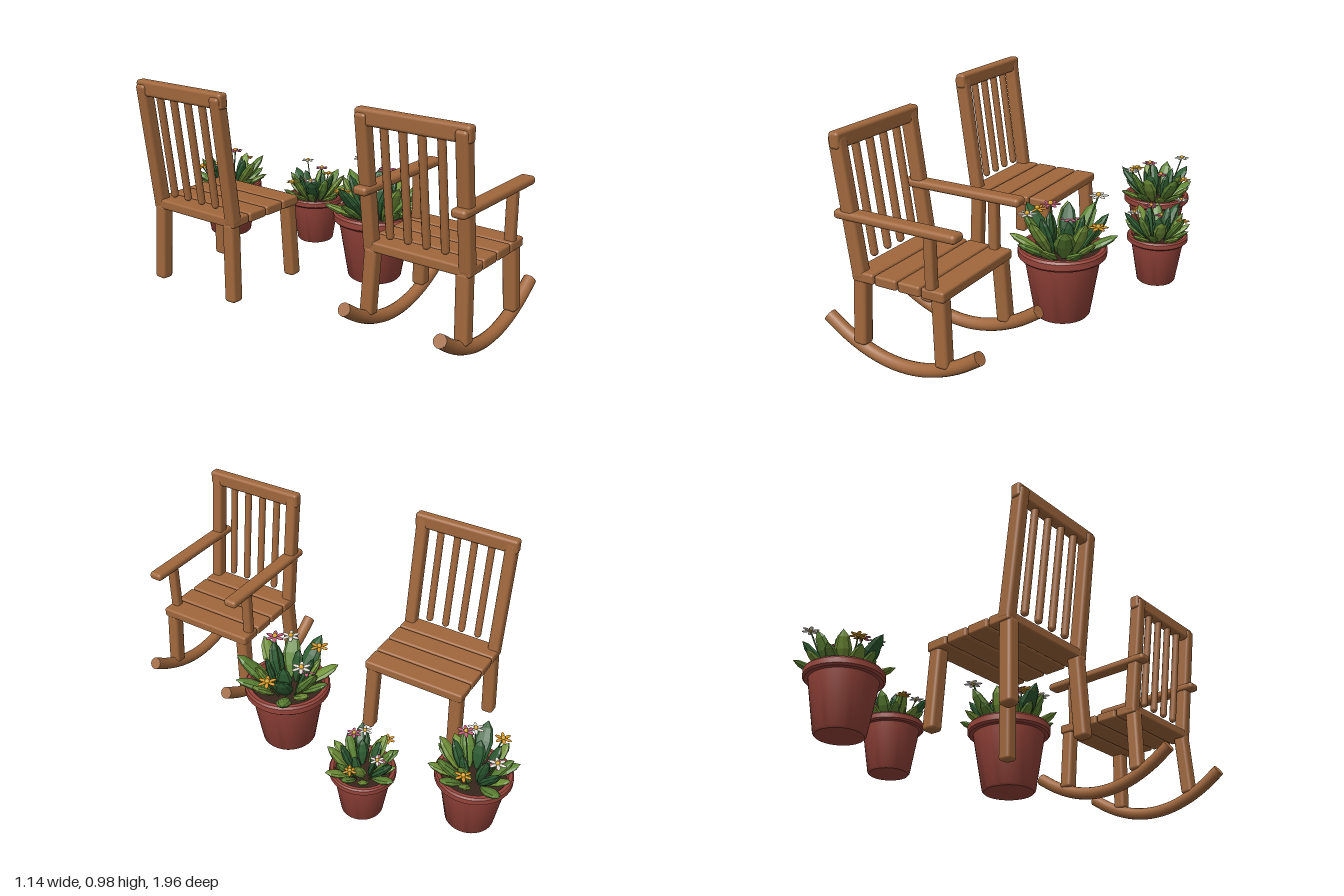
import * as THREE from 'three';
import { RoundedBoxGeometry } from 'three/addons/geometries/RoundedBoxGeometry.js';
import { toCreasedNormals } from 'three/addons/utils/BufferGeometryUtils.js';

const paint = (color, extra = {}) => new THREE.MeshStandardMaterial({ color, ...extra });
const wood = paint(0xa0673c);
const clay = paint(0x96443a);
const soilMat = paint(0x38251c);
const greens = [0x74943a, 0x5f8636, 0x2f5d33].map((c) => paint(c, { flatShading: true }));
const stemMat = paint(0x47702f);
const petalMats = { pink: 0xc8607f, white: 0xe6e0d6, orange: 0xdf9a26 };
for (const k in petalMats) petalMats[k] = paint(petalMats[k], { side: THREE.DoubleSide });
const heartMat = paint(0xd9a428);
const V = (x, y, z) => new THREE.Vector3(x, y, z);
const UP = V(0, 1, 0);

function add(parent, name, geometry, material) {
  const mesh = new THREE.Mesh(geometry, material);
  mesh.name = name;
  parent.add(mesh);
  return mesh;
}

// Stands a y-long mesh between two points
function span(mesh, a, b) {
  mesh.position.copy(a).add(b).multiplyScalar(0.5);
  mesh.quaternion.setFromUnitVectors(UP, b.clone().sub(a).normalize());
  return mesh;
}

function beam(parent, name, a, b, w, d, r = 0.015) {
  return span(add(parent, name, new RoundedBoxGeometry(w, a.distanceTo(b), d, 3, r), wood), a, b);
}

function rod(parent, name, a, b, r, material) {
  return span(add(parent, name, new THREE.CylinderGeometry(r, r, a.distanceTo(b), 6), material), a, b);
}

// Chair facing +x; x = 0 is the middle of the rearmost seat slat
function makeChair(name, rocking) {
  const g = new THREE.Group();
  g.name = name;

  for (let i = 0; i < 4; i++) {
    const slat = add(g, 'seatSlat', new RoundedBoxGeometry(0.106, 0.045, 0.5, 3, 0.01), wood);
    slat.position.set(i * 0.113, 0.397, 0);
  }

  // Raked back: posts, crest rail and round spindles
  const crest = add(g, 'crestRail', new RoundedBoxGeometry(0.05, 0.07, 0.516, 3, 0.014), wood);
  crest.position.set(-0.091, 0.949, 0);
  for (let i = 0; i < 4; i++) {
    const z = (i - 1.5) * 0.0856;
    const a = V(-0.03, 0.44, z), b = V(-0.095, 0.94, z);
    span(add(g, 'backSpindle', new THREE.CapsuleGeometry(0.017, a.distanceTo(b) - 0.034, 4, 12), wood), a, b);
  }

  const footY = rocking ? 0.09 : 0.025;
  for (const s of [-1, 1]) {
    beam(g, 'backPost', V(-0.022, 0.385, s * 0.224), V(-0.098, 0.968, s * 0.224), 0.062, 0.055);
    beam(g, 'rearLeg', V(-0.036, footY, s * 0.227), V(-0.024, 0.39, s * 0.214), 0.062, 0.06);
    beam(g, 'frontLeg', V(0.369, footY, s * 0.227), V(0.355, 0.39, s * 0.214), 0.062, 0.06);
    if (!rocking) continue;

    // Arm and its upright
    beam(g, 'armrest', V(-0.122, 0.647, s * 0.224), V(0.457, 0.647, s * 0.224), 0.038, 0.068, 0.016);
    beam(g, 'armPost', V(0.322, 0.39, s * 0.224), V(0.322, 0.635, s * 0.224), 0.042, 0.045, 0.012);

    // Curved rocker with closed ends
    const path = new THREE.CatmullRomCurve3([-1, -0.75, -0.5, -0.25, 0, 0.25, 0.5, 0.75, 1]
      .map((t) => V(0.162 + 0.372 * t, 0.034 + 0.138 * t * t, s * 0.224)));
    add(g, 'rocker', new THREE.TubeGeometry(path, 32, 0.029, 14), wood);
    for (const t of [0, 1]) {
      const cap = add(g, 'rockerEnd', new THREE.CircleGeometry(0.029, 14), wood);
      cap.position.copy(path.getPoint(t));
      cap.quaternion.setFromUnitVectors(V(0, 0, 1), path.getTangent(t).multiplyScalar(t ? 1 : -1));
    }
  }
  return g;
}

// Pointed plump leaf, unit length, flattened along z
const leafGeometry = new THREE.LatheGeometry(
  [[0, 0], [0.06, 0.08], [0.15, 0.32], [0.19, 0.58], [0.13, 0.84], [0, 1]].map((p) => new THREE.Vector2(...p)), 8);
leafGeometry.scale(1, 1, 0.5);

function addLeaf(parent, angle, radius, tilt, length, material) {
  const leaf = add(parent, 'leaf', leafGeometry, material);
  leaf.scale.setScalar(length);
  leaf.rotation.set(tilt, angle, 0, 'YXZ');
  leaf.position.set(Math.sin(angle) * radius, 0.29, Math.cos(angle) * radius);
}

function addFlower(parent, [x, y, z, color]) {
  const flower = new THREE.Group();
  flower.name = 'flower';
  rod(flower, 'stem', V(x * 0.45, 0.29, z * 0.45), V(x, y, z), 0.004, stemMat);
  for (let i = 0; i < 6; i++) {
    const a = (i / 6) * Math.PI * 2;
    const petal = add(flower, 'petal', new THREE.SphereGeometry(1, 8, 5), petalMats[color]);
    petal.scale.set(0.01, 0.004, 0.021);
    petal.rotation.y = a;
    petal.position.set(x + Math.sin(a) * 0.026, y, z + Math.cos(a) * 0.026);
  }
  const heart = add(flower, 'flowerHeart', new THREE.SphereGeometry(0.012, 8, 6), heartMat);
  heart.position.set(x, y + 0.005, z);
  parent.add(flower);
}

const flowers = [
  [-0.02, 0.545, 0.075, 'pink'], [0.1, 0.535, -0.15, 'white'], [-0.016, 0.42, -0.1, 'pink'],
  [-0.14, 0.475, 0.07, 'white'], [0.17, 0.443, -0.01, 'orange'], [-0.17, 0.45, -0.07, 'orange'],
];

function makePottedPlant(name, turn) {
  const g = new THREE.Group();
  g.name = name;

  const profile = [[0, 0], [0.118, 0], [0.127, 0.01], [0.172, 0.28], [0.19, 0.282], [0.2, 0.292],
    [0.2, 0.32], [0.192, 0.33], [0.174, 0.33], [0.166, 0.32], [0.16, 0.26]];
  const potGeometry = new THREE.LatheGeometry(profile.map((p) => new THREE.Vector2(...p)), 36);
  add(g, 'pot', toCreasedNormals(potGeometry, 0.6), clay);
  const soil = add(g, 'soil', new THREE.CylinderGeometry(0.166, 0.16, 0.02, 28), soilMat);
  soil.position.y = 0.288;

  // Three rings of leaves: low and wide, middle, upright and dark
  const rings = [
    { n: 10, radius: 0.075, tilt: 1.0, length: 0.18, mats: [0, 1] },
    { n: 8, radius: 0.06, tilt: 0.6, length: 0.235, mats: [1, 0, 2] },
    { n: 5, radius: 0.05, tilt: 0.28, length: 0.2, mats: [2] },
  ];
  rings.forEach(({ n, radius, tilt, length, mats }, k) => {
    for (let i = 0; i < n; i++) {
      const wobble = Math.sin(i * 2.4 + k * 1.7 + turn);
      addLeaf(g, turn + k * 0.35 + (i / n) * Math.PI * 2 + wobble * 0.1, radius,
        tilt + wobble * 0.12, length * (1 + wobble * 0.08), greens[mats[i % mats.length]]);
    }
  });
  flowers.forEach((f) => addFlower(g, f));
  return g;
}

export function createModel() {
  const model = new THREE.Group();
  model.name = 'patioSet';

  const rocker = makeChair('rockingChair', true);
  rocker.position.set(-0.278, 0, 0.74);
  const chair = makeChair('sideChair', false);
  chair.position.set(-0.433, 0, -0.34);
  model.add(rocker, chair);

  // x, z, scale, leaf turn
  [['largePottedPlant', 0.192, 0.19, 1, 0.1],
    ['mediumPottedPlant', 0.228, -0.79, 0.845, 0.5],
    ['smallPottedPlant', 0.42, -0.355, 0.73, 0.9]].forEach(([name, x, z, s, turn]) => {
    const plant = makePottedPlant(name, turn);
    plant.position.set(x, 0.012, z);
    plant.scale.setScalar(s);
    model.add(plant);
  });
  return model;
}
